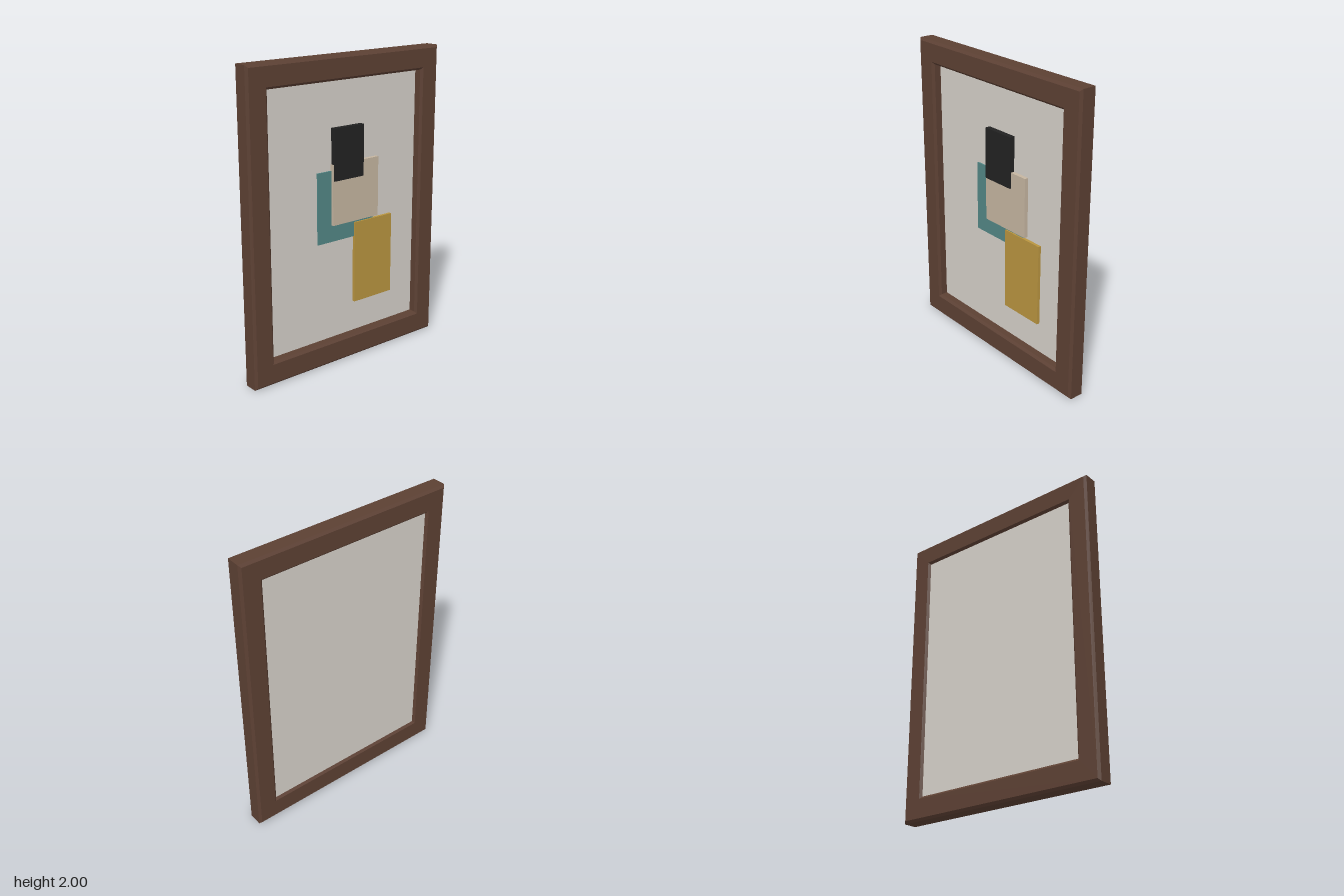
import * as THREE from 'three';

const material = (name, color) => {
  const m = new THREE.MeshStandardMaterial({ color });
  m.name = name;
  return m;
};

// Rectangle outline between two corners
function rectangle(PathType, x0, y0, x1, y1) {
  return new PathType([[x0, y0], [x1, y0], [x1, y1], [x0, y1]].map(([x, y]) => new THREE.Vector2(x, y)));
}

// Box given by its extents on each axis
function slab(name, mat, [x0, x1], [y0, y1], [z0, z1]) {
  const mesh = new THREE.Mesh(new THREE.BoxGeometry(x1 - x0, y1 - y0, z1 - z0), mat);
  mesh.position.set((x0 + x1) / 2, (y0 + y1) / 2, (z0 + z1) / 2);
  mesh.name = name;
  return mesh;
}

export function createModel() {
  const group = new THREE.Group();
  group.name = 'framedArtwork';

  const wood = material('darkWood', 0x5c4033);
  const linen = material('paleLinen', 0xd4cfc8);
  const teal = material('teal', 0x528685);
  const sand = material('sand', 0xc5b5a0);
  const ochre = material('ochre', 0xb8943f);
  const black = material('charcoal', 0x222222);

  // Chamfered wooden frame, open in the middle
  const bevel = 0.015;
  const outline = rectangle(THREE.Shape, -0.73, bevel, 0.73, 2 - bevel);
  outline.holes.push(rectangle(THREE.Path, -0.615, 0.14, 0.615, 1.865));
  const frameGeometry = new THREE.ExtrudeGeometry(outline, {
    depth: 0.09, bevelEnabled: true, bevelThickness: bevel, bevelSize: bevel, bevelSegments: 1,
  });
  frameGeometry.translate(0, 0, -0.045);
  const frame = new THREE.Mesh(frameGeometry, wood);
  frame.name = 'frame';
  group.add(frame);

  // Backing canvas, tucked slightly into the frame
  group.add(slab('canvas', linen, [-0.605, 0.605], [0.15, 1.855], [-0.045, 0]));

  // Overlapping raised panels
  group.add(
    slab('tealPanel', teal, [-0.215, 0.235], [0.82, 1.285], [0, 0.01]),
    slab('sandPanel', sand, [-0.107, 0.265], [0.93, 1.325], [0, 0.026]),
    slab('ochrePanel', ochre, [0.075, 0.39], [0.365, 0.915], [0, 0.02]),
    slab('blackPanel', black, [-0.1, 0.135], [1.22, 1.555], [0, 0.034]),
  );
  return group;
}
